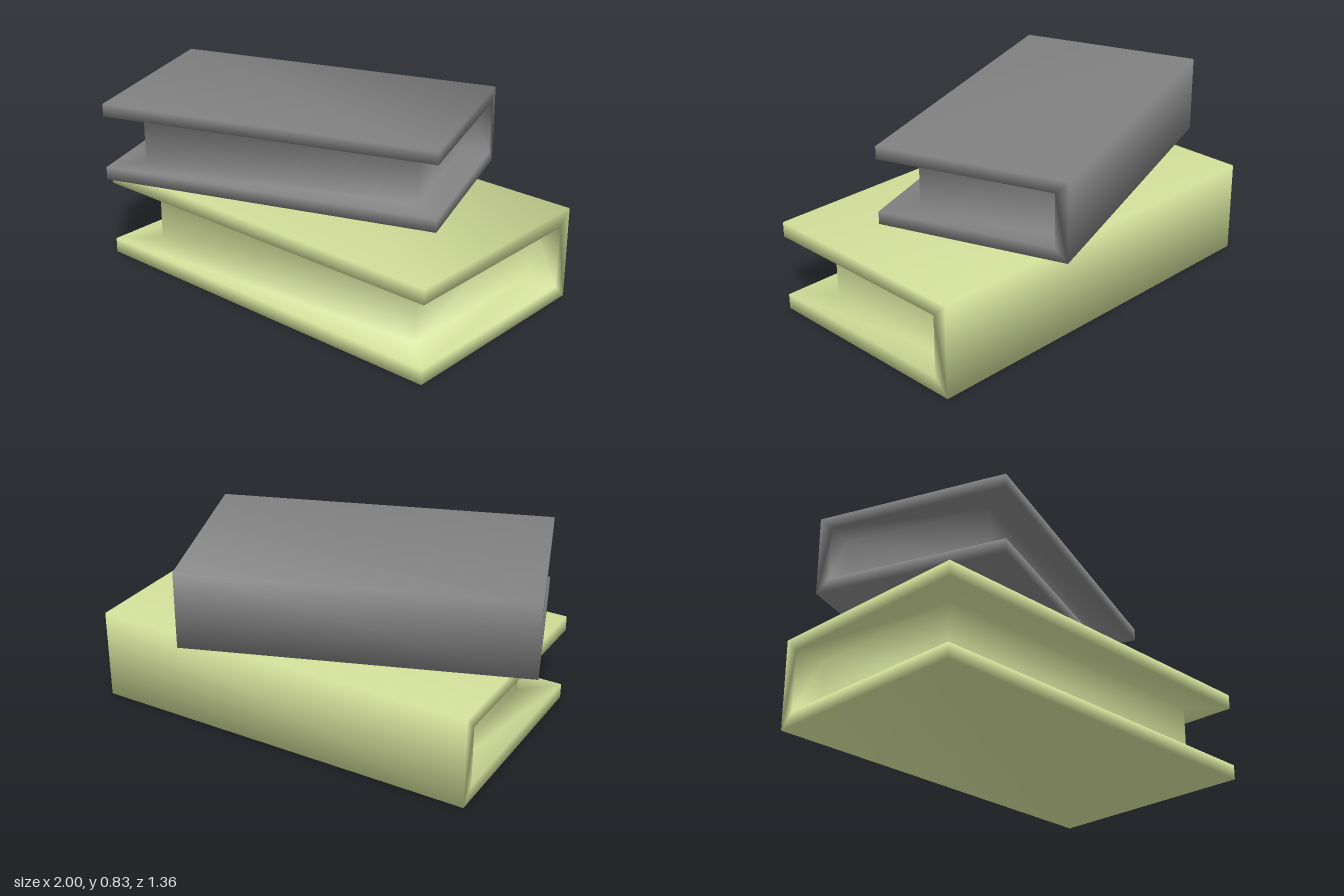
import * as THREE from 'three';

// Closed book lying flat: wrapped cover with spine at -z, page block set back on three sides
function bookGeometry(length, height, depth, board, inset) {
  const spine = -depth / 2 + board;
  const positions = [];
  const index = [];

  // Rings of one end: outer cover (0-3), inner cover (4-7), page block (8-11)
  const ring = (x, y0, y1, back, front) =>
    positions.push(x, y0, front, x, y0, back, x, y1, back, x, y1, front);
  for (const s of [-1, 1]) {
    ring(s * length / 2, 0, height, -depth / 2, depth / 2);
    ring(s * length / 2, board, height - board, spine, depth / 2);
    ring(s * (length / 2 - inset), board, height - board, spine, depth / 2 - inset);
  }

  const quad = (a, b, c, d, flip = false) =>
    index.push(...(flip ? [c, b, a, d, c, a] : [a, b, c, a, c, d]));
  const L = 12; // offset from the -x end to the +x end

  for (let k = 0; k < 3; k++) {
    // bottom, back and top of the cover
    quad(k, k + 1, k + 1 + L, k + L);
    for (const e of [0, L]) {
      // mitred cover edge at the end
      quad(e + k, e + k + 1, e + k + 5, e + k + 4, e === 0);
      // inside of the cover beside the pages
      quad(e + k + 4, e + k + 8, e + k + 9, e + k + 5, e === L);
    }
  }
  // head and tail of the pages
  quad(8, 9, 10, 11, true);
  quad(8 + L, 9 + L, 10 + L, 11 + L);
  // front edges of both boards
  quad(3, 7, 7 + L, 3 + L);
  quad(4, 0, L, 4 + L);
  // insides of the boards in front of the pages, and the page front
  quad(4, 4 + L, 8 + L, 8);
  quad(11, 11 + L, 7 + L, 7);
  quad(8, 8 + L, 11 + L, 11);

  const geo = new THREE.BufferGeometry();
  geo.setAttribute('position', new THREE.Float32BufferAttribute(positions, 3));
  geo.setIndex(index);
  geo.computeVertexNormals(); // shared corners keep the soft shading
  return geo;
}

export function createModel() {
  const group = new THREE.Group();
  group.name = 'bookStack';
  const geo = bookGeometry(1.852, 0.43, 1.04, 0.07, 0.156);

  const addBook = (name, color, scale, x, y, turn) => {
    const book = new THREE.Mesh(geo, new THREE.MeshStandardMaterial({ color }));
    book.name = name;
    book.scale.setScalar(scale);
    book.position.set(x, y, 0);
    book.rotation.y = turn;
    group.add(book);
  };

  addBook('lowerBook', 0xd0dc98, 1, 0.072, 0, 0);
  addBook('upperBook', 0x808080, 0.842, -0.115, 0.47, THREE.MathUtils.degToRad(20));
  return group;
}
